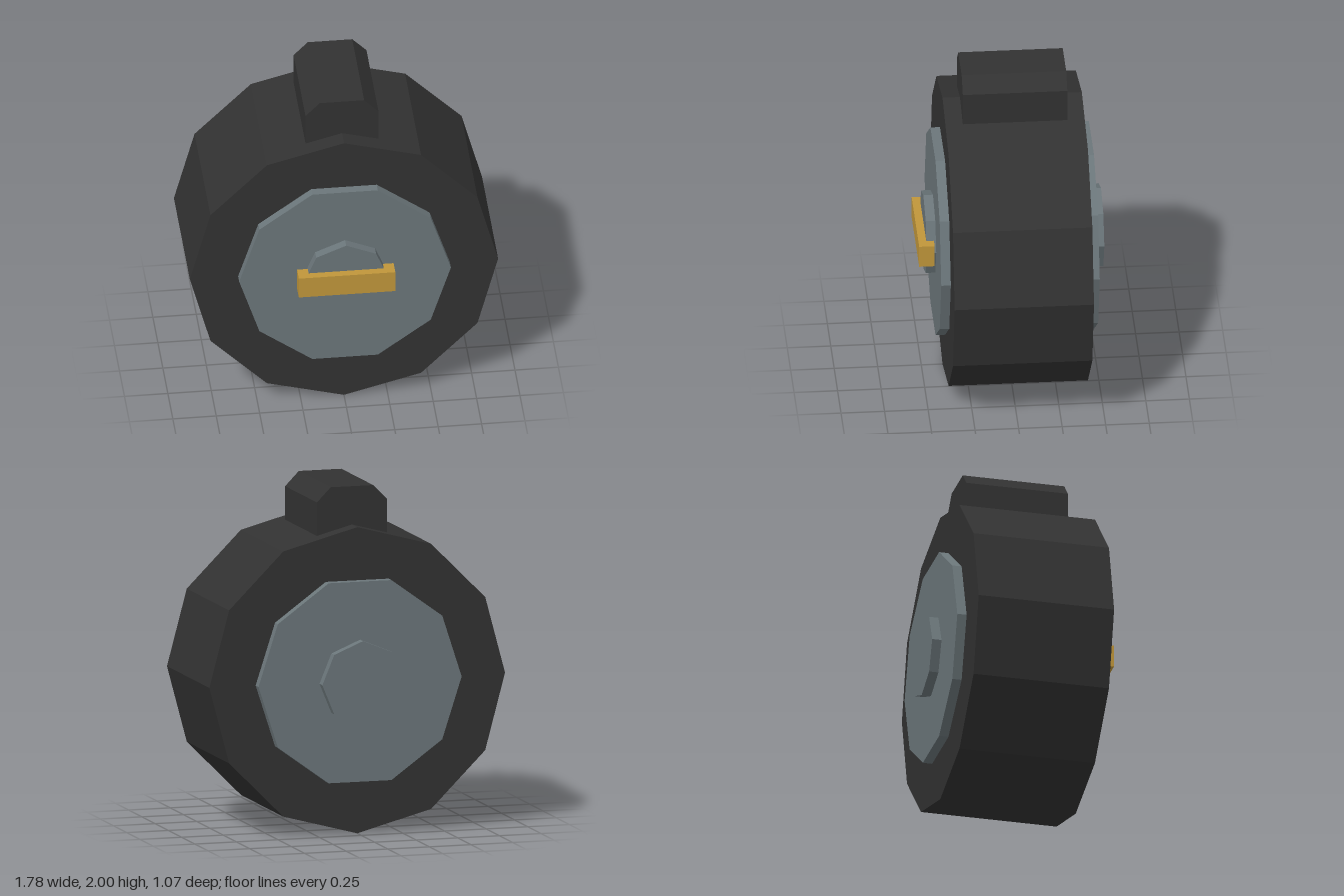
import * as THREE from 'three';

const AXIS_Y = 0.89;

export function createModel() {
  const group = new THREE.Group();
  const material = (name, color) => {
    const m = new THREE.MeshStandardMaterial({ color, flatShading: true });
    m.name = name;
    return m;
  };
  const black = material('charcoal', 0x323232);
  const grey = material('slate grey', 0x6b767a);
  const gold = material('brass', 0xc0963a);

  const add = (name, geometry, mat) => {
    const mesh = new THREE.Mesh(geometry, mat);
    mesh.name = name;
    group.add(mesh);
    return mesh;
  };

  // Faceted cylinder lying along z, from back to front
  const drum = (name, radius, sides, back, front, start, mat) => {
    const g = new THREE.CylinderGeometry(radius, radius, front - back, sides, 1, false, start);
    g.rotateX(Math.PI / 2);
    g.translate(0, AXIS_Y, (front + back) / 2);
    return add(name, g, mat);
  };

  // Body, with the face plates and hubs stepping out on both sides
  drum('body', 0.888, 12, -0.422, 0.378, 0, black);
  drum('facePlates', 0.61, 10, -0.477, 0.433, Math.PI / 2, grey);
  drum('hubs', 0.244, 8, -0.532, 0.488, 0, grey);

  // Crossbar on the front hub
  const bar = add('frontBar', new THREE.BoxGeometry(0.556, 0.133, 0.089), gold);
  bar.position.set(0, AXIS_Y, 0.489);

  // Chamfered block on top
  const profile = new THREE.Shape([
    [-0.21, 1.72], [0.21, 1.72], [0.21, 1.916], [0.128, 2], [-0.128, 2], [-0.21, 1.916],
  ].map(([x, y]) => new THREE.Vector2(x, y)));
  const block = new THREE.ExtrudeGeometry(profile, { depth: 0.6, bevelEnabled: false });
  block.translate(0, 0, -0.322);
  add('topBlock', block, black);

  return group;
}
